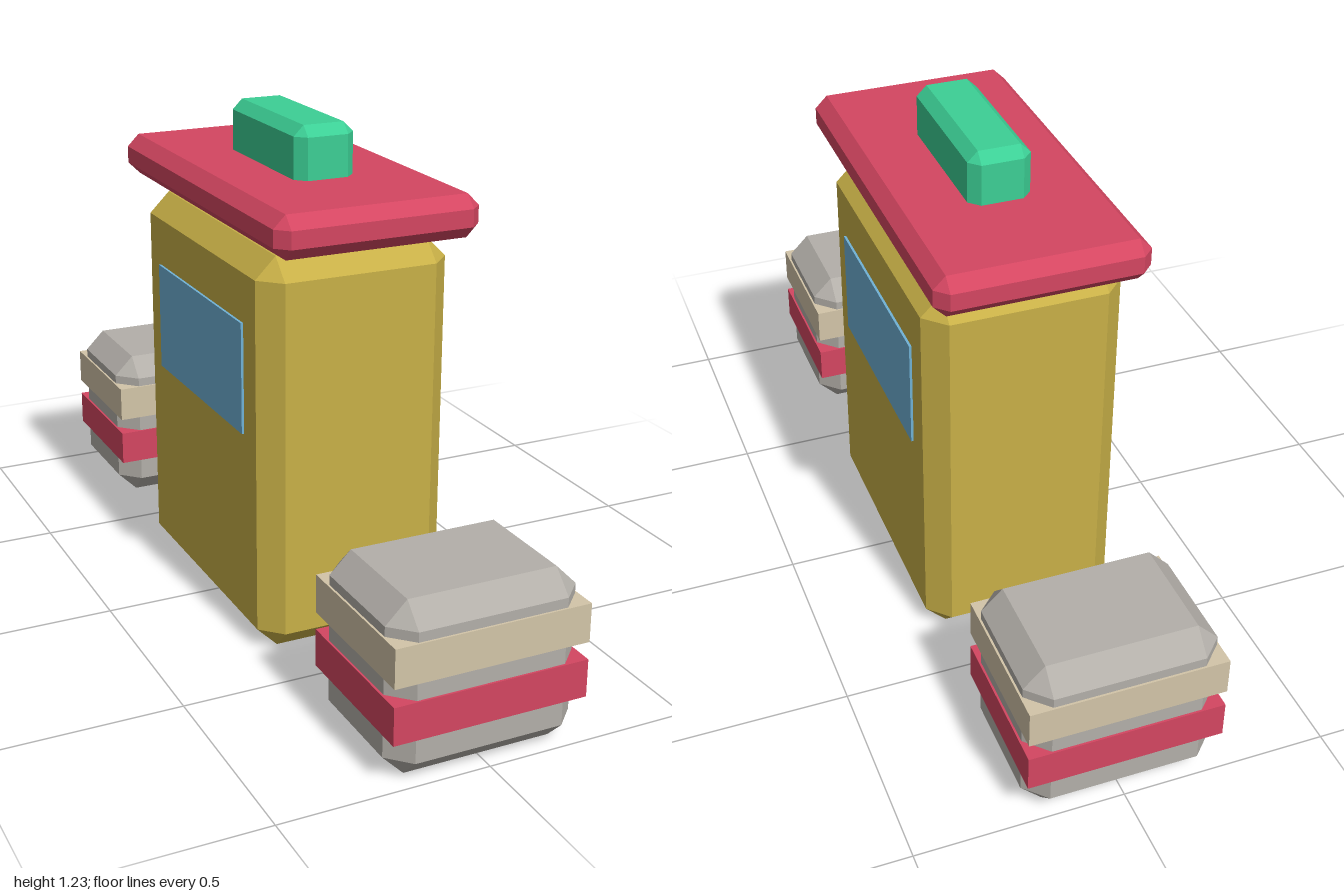
import * as THREE from 'three';
import { ConvexGeometry } from 'three/addons/geometries/ConvexGeometry.js';

const paint = (name, color) => {
  const m = new THREE.MeshStandardMaterial({ color });
  m.name = name;
  return m;
};

// Box with every edge cut flat by c; spans y0 to y1
function chamferBox(w, y0, y1, d, c) {
  const half = [w / 2, (y1 - y0) / 2, d / 2];
  const points = [];
  for (const sx of [-1, 1]) for (const sy of [-1, 1]) for (const sz of [-1, 1]) {
    for (let axis = 0; axis < 3; axis++) {
      const p = [sx, sy, sz].map((s, i) => s * (half[i] - (i === axis ? 0 : c)));
      points.push(new THREE.Vector3(...p));
    }
  }
  return new ConvexGeometry(points).translate(0, (y0 + y1) / 2, 0);
}

function plainBox(w, y0, y1, d) {
  return new THREE.BoxGeometry(w, y1 - y0, d).translate(0, (y0 + y1) / 2, 0);
}

export function createModel() {
  const gold = paint('gold', 0xc8b047);
  const red = paint('red', 0xd44661);
  const green = paint('green', 0x3ccf95);
  const grey = paint('grey', 0xb3afa9);
  const cream = paint('cream', 0xd3c5a8);
  const blue = paint('blue', 0x70b2d6);

  const model = new THREE.Group();
  model.name = 'booth';
  const add = (parent, name, geometry, material) => {
    const mesh = new THREE.Mesh(geometry, material);
    mesh.name = name;
    parent.add(mesh);
    return mesh;
  };

  // Cabin, floating roof and roof lamp
  add(model, 'cabin', chamferBox(0.485, 0, 0.972, 0.762, 0.051), gold);
  add(model, 'roof', chamferBox(0.508, 0.998, 1.1, 0.968, 0.03), red);
  add(model, 'roofLamp', chamferBox(0.152, 1.072, 1.226, 0.404, 0.025), green);

  // Side windows
  for (const side of [-1, 1]) {
    const pane = add(model, side > 0 ? 'leftWindow' : 'rightWindow',
      plainBox(0.009, 0.53, 0.802, 0.524), blue);
    pane.position.x = side * 0.244;
  }

  // Banded bollards in front and behind
  for (const side of [-1, 1]) {
    const bollard = new THREE.Group();
    bollard.name = side > 0 ? 'frontBollard' : 'backBollard';
    add(bollard, 'post', chamferBox(0.46, 0, 0.408, 0.356, 0.051), grey);
    add(bollard, 'lowerBand', plainBox(0.47, 0.11, 0.2, 0.366), red);
    add(bollard, 'upperBand', plainBox(0.47, 0.242, 0.334, 0.366), cream);
    bollard.position.z = side * 0.817;
    model.add(bollard);
  }
  return model;
}
